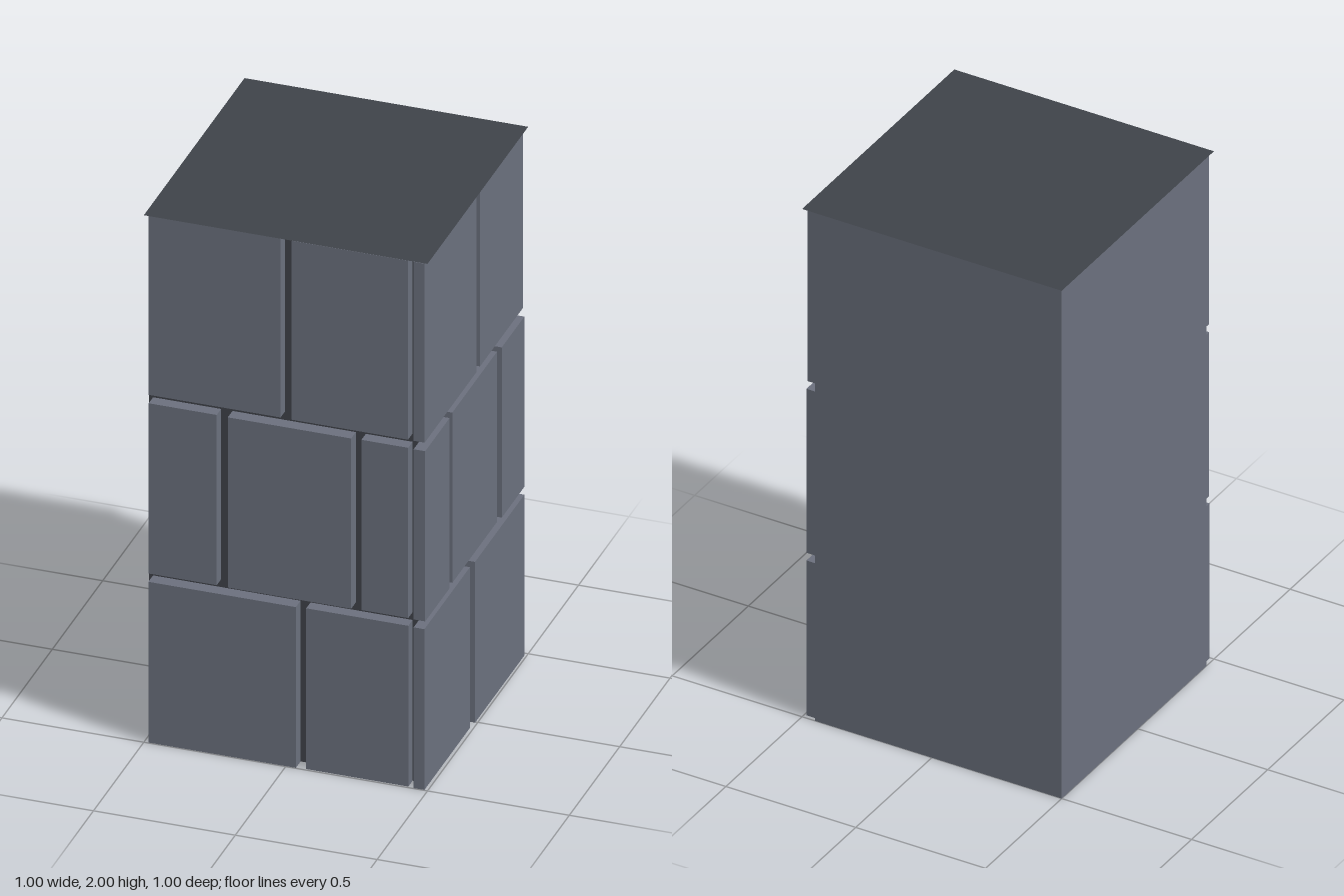
import * as THREE from 'three';

const stone = new THREE.MeshStandardMaterial({ color: 0x6b707d, side: THREE.DoubleSide });
stone.name = 'slate stone';
const mortar = new THREE.MeshStandardMaterial({ color: 0x3f4349, side: THREE.DoubleSide });
mortar.name = 'dark mortar';

const INNER = 0.45; // plane the blocks stand on

// Courses: [bottom, top, blocks as [start, end, protrusion]]
const frontCourses = [
  [0, 0.61, [[-0.485, 0.035, 0.047], [0.07, 0.43, 0.043]]],
  [0.64, 1.286, [[-0.485, -0.245, 0.044], [-0.205, 0.23, 0.047], [0.265, 0.43, 0.044]]],
  [1.318, 1.997, [[-0.485, -0.02, 0.044], [0.02, 0.43, 0.046]]],
];
const sideCourses = [
  [0, 0.61, [[0.045, 0.497, 0.038], [-0.485, 0.005, 0.042]]],
  [0.64, 1.286, [[0.255, 0.497, 0.041], [-0.227, 0.217, 0.037], [-0.485, -0.26, 0.042]]],
  [1.318, 1.997, [[-0.02, 0.497, 0.039], [-0.485, -0.058, 0.037]]],
];

function wall(name, material, width, x, z, turn) {
  const mesh = new THREE.Mesh(new THREE.PlaneGeometry(width, 2), material);
  mesh.name = name;
  mesh.position.set(x, 1, z);
  mesh.rotation.y = turn;
  return mesh;
}

function blocks(name, courses, onSide) {
  const group = new THREE.Group();
  group.name = name;
  for (const [y0, y1, row] of courses) {
    for (const [a, b, depth] of row) {
      const size = onSide ? [depth, y1 - y0, b - a] : [b - a, y1 - y0, depth];
      const mesh = new THREE.Mesh(new THREE.BoxGeometry(...size), stone);
      const out = INNER + depth / 2;
      const along = (a + b) / 2;
      mesh.position.set(onSide ? out : along, (y0 + y1) / 2, onSide ? along : out);
      mesh.name = 'stoneBlock';
      group.add(mesh);
    }
  }
  return group;
}

export function createModel() {
  const model = new THREE.Group();
  model.name = 'stoneWallCorner';

  // Hollow core, open at the bottom
  const w = 0.5 + INNER;
  const mid = (INNER - 0.5) / 2;
  model.add(
    wall('frontMortar', mortar, w, mid, INNER, 0),
    wall('leftMortar', mortar, w, INNER, mid, Math.PI / 2),
    wall('backWall', stone, w, mid, -0.5, Math.PI),
    wall('rightWall', stone, w, -0.5, mid, -Math.PI / 2),
  );

  // Flat top sheet covering core and blocks
  const top = new THREE.Mesh(new THREE.PlaneGeometry(1, 1), mortar);
  top.name = 'topSheet';
  top.rotation.x = -Math.PI / 2;
  top.position.y = 2;
  model.add(top);

  // Raised stone blocks on the two faced sides
  model.add(blocks('frontBlocks', frontCourses, false), blocks('leftBlocks', sideCourses, true));
  return model;
}
